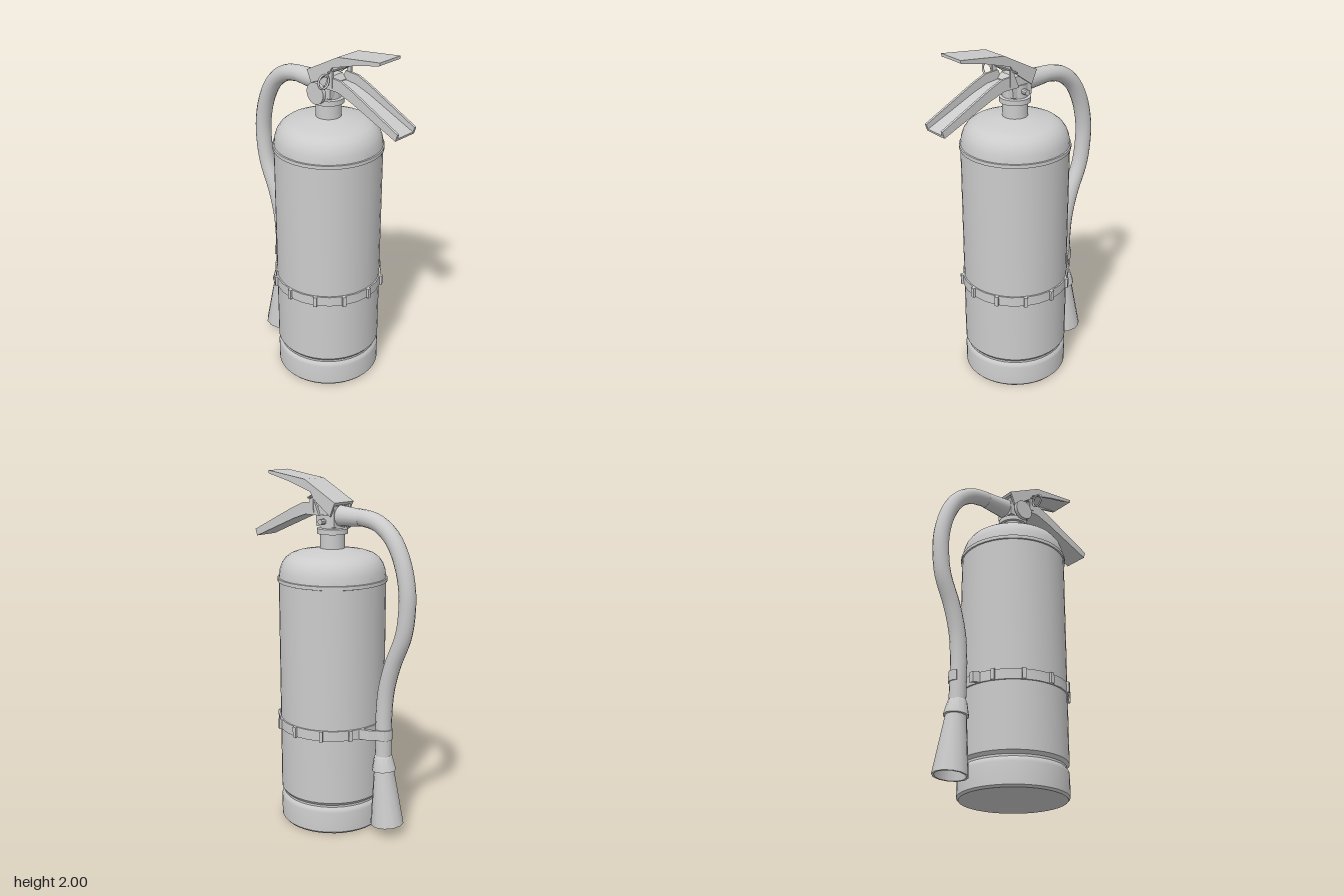
import * as THREE from 'three';
import { toCreasedNormals } from 'three/addons/utils/BufferGeometryUtils.js';

const CX = 0.015; // tank axis
const material = new THREE.MeshStandardMaterial({ color: 0xcccccc });
const openMaterial = new THREE.MeshStandardMaterial({ color: 0xcccccc, side: THREE.DoubleSide });
const v2 = (p) => new THREE.Vector2(p[0], p[1]);

export function createModel() {
  const model = new THREE.Group();

  function add(name, geometry, x = 0, y = 0, z = 0, parent = model, mat = material) {
    const mesh = new THREE.Mesh(geometry, mat);
    mesh.name = name;
    mesh.position.set(x, y, z);
    parent.add(mesh);
    return mesh;
  }
  function group(name) {
    const g = new THREE.Group();
    g.name = name;
    model.add(g);
    return g;
  }
  const lathe = (points, sides) =>
    toCreasedNormals(new THREE.LatheGeometry(points.map(v2), sides), 0.6);
  // Side profile in x/y, extruded from z0 to z1
  function slab(points, z0, z1) {
    const g = new THREE.ExtrudeGeometry(new THREE.Shape(points.map(v2)), { depth: z1 - z0, bevelEnabled: false });
    return g.translate(0, 0, z0);
  }
  // Plan outline in x/z, extruded from y0 to y1
  function plan(points, y0, y1) {
    return slab(points.map(([x, z]) => [x, -z]), y0, y1).rotateX(-Math.PI / 2);
  }
  // Cylinder lying along z
  const axle = (radius, length, sides) =>
    toCreasedNormals(new THREE.CylinderGeometry(radius, radius, length, sides).rotateX(Math.PI / 2), 0.6);

  // Tank with grooved foot and seam bead
  add('tank', lathe([
    [0, 0], [0.29, 0], [0.3, 0.012], [0.3, 0.13], [0.297, 0.147], [0.286, 0.16], [0.286, 0.172],
    [0.3, 0.19], [0.3, 1.412], [0.307, 1.414], [0.307, 1.434], [0.3, 1.436], [0.295, 1.475],
    [0.283, 1.51], [0.262, 1.54], [0.235, 1.56], [0.2, 1.572], [0.07, 1.595], [0, 1.6],
  ], 40), CX);

  // Neck and valve
  const valve = group('valve');
  add('neck', lathe([
    [0.07, 1.58], [0.07, 1.675], [0.086, 1.675], [0.086, 1.703], [0.07, 1.707], [0.07, 1.78], [0, 1.78],
  ], 24), CX, 0, 0, valve);
  add('valveBlock', slab([
    [-0.05, 1.715], [0.08, 1.715], [0.085, 1.8], [0.06, 1.83], [-0.05, 1.83],
  ], -0.06, 0.06), 0, 0, 0, valve);
  add('gaugeStem', axle(0.03, 0.05, 16), CX, 1.745, 0.07, valve);
  add('gauge', axle(0.06, 0.022, 24), CX, 1.745, 0.094, valve);
  add('rearPlug', axle(0.016, 0.05, 10), CX, 1.745, -0.078, valve);

  // Squeeze lever: top plate with two cheeks, open underneath
  const lever = group('upperLever');
  add('leverPlate', slab([
    [-0.07, 1.85], [0.15, 1.965], [0.43, 2], [0.43, 1.985], [0.155, 1.948], [-0.062, 1.835],
  ], -0.078, 0.078), 0, 0, 0, lever);
  for (const s of [-1, 1]) {
    add('leverCheek', slab([
      [-0.068, 1.85], [0.15, 1.963], [0.428, 1.998], [0.425, 1.982], [0.27, 1.948],
      [0.11, 1.9], [0.09, 1.865], [-0.035, 1.775],
    ], s > 0 ? 0.066 : -0.078, s > 0 ? 0.078 : -0.066), 0, 0, 0, lever);
  }

  // Carry handle: floor with two cheeks, open on top
  const handle = group('carryHandle');
  add('handleFloor', slab([
    [0.06, 1.785], [0.15, 1.775], [0.24, 1.745], [0.54, 1.62], [0.543, 1.632], [0.245, 1.758], [0.155, 1.788], [0.06, 1.798],
  ], -0.072, 0.072), 0, 0, 0, handle);
  for (const s of [-1, 1]) {
    add('handleCheek', slab([
      [0.05, 1.775], [0.15, 1.775], [0.24, 1.745], [0.54, 1.62], [0.552, 1.658], [0.25, 1.805],
      [0.165, 1.84], [0.08, 1.845],
    ], s > 0 ? 0.06 : -0.074, s > 0 ? 0.074 : -0.06), 0, 0, 0, handle);
    add('pinLug', new THREE.BoxGeometry(0.028, 0.09, 0.012), 0.1, 1.835, s * 0.072, handle);
  }

  // Safety pin with pull ring
  const pin = group('safetyPin');
  add('pinShaft', axle(0.006, 0.2, 8), 0.095, 1.872, -0.01, pin);
  add('pullRing', new THREE.TorusGeometry(0.037, 0.006, 8, 24).rotateY(Math.PI / 2), 0.1, 1.835, 0.127, pin);

  // Hose with its coupling
  const hose = group('hose');
  add('hoseCoupling', new THREE.CylinderGeometry(0.046, 0.058, 0.15, 16).rotateZ(Math.PI / 2), -0.12, 1.775, 0, hose);
  const path = new THREE.CatmullRomCurve3([
    [-0.15, 1.778], [-0.22, 1.775], [-0.31, 1.755], [-0.4, 1.69], [-0.47, 1.57], [-0.507, 1.42],
    [-0.508, 1.3], [-0.488, 1.17], [-0.42, 1], [-0.38, 0.85], [-0.366, 0.7], [-0.366, 0.55], [-0.368, 0.42],
  ].map(([x, y]) => new THREE.Vector3(x, y, 0)));
  add('hoseTube', new THREE.TubeGeometry(path, 48, 0.046, 14), 0, 0, 0, hose);

  // Hollow horn, leaning slightly outwards
  const nozzle = group('nozzle');
  nozzle.position.set(-0.366, 0.46, 0);
  nozzle.rotation.z = -0.085;
  add('horn', lathe([
    [0.044, 0.012], [0.035, -0.08], [0.083, -0.4], [0.095, -0.4], [0.057, -0.08], [0.069, -0.078], [0.052, 0], [0.044, 0.012],
  ], 12), 0, 0, 0, nozzle, openMaterial);

  // Ribbed strap around the tank
  const strap = group('strap');
  add('strapBand', lathe([
    [0.299, 0.567], [0.31, 0.567], [0.31, 0.625], [0.299, 0.625],
  ], 24), CX, 0, 0, strap, openMaterial);
  for (let i = 0; i < 12; i++) {
    if (i === 6) continue; // hose clip sits here
    const a = (i * Math.PI) / 6;
    const rib = add('strapRib', new THREE.BoxGeometry(0.022, 0.06, 0.02),
      CX + 0.312 * Math.cos(a), 0.596, 0.312 * Math.sin(a), strap);
    rib.rotation.y = -a;
  }

  // Hose clip: arm behind the hose curling round it, and a short front hook
  const outer = [[-0.27, -0.105], [-0.33, -0.085]];
  const inner = [[-0.27, -0.085], [-0.335, -0.06]];
  for (let i = 0; i <= 6; i++) {
    const a = -Math.PI / 2 - (i / 6) * 2.3;
    outer.push([-0.362 + 0.056 * Math.cos(a), 0.056 * Math.sin(a)]);
    inner.push([-0.362 + 0.045 * Math.cos(a), 0.045 * Math.sin(a)]);
  }
  add('hoseClip', plan([...outer, ...inner.reverse()], 0.567, 0.625), 0, 0, 0, strap);
  add('clipHook', plan([
    [-0.275, 0.07], [-0.3, 0.065], [-0.322, 0.04], [-0.312, 0.035], [-0.32, 0.07], [-0.275, 0.085],
  ].filter((_, i) => i !== 3), 0.567, 0.625), 0, 0, 0, strap);

  return model;
}
